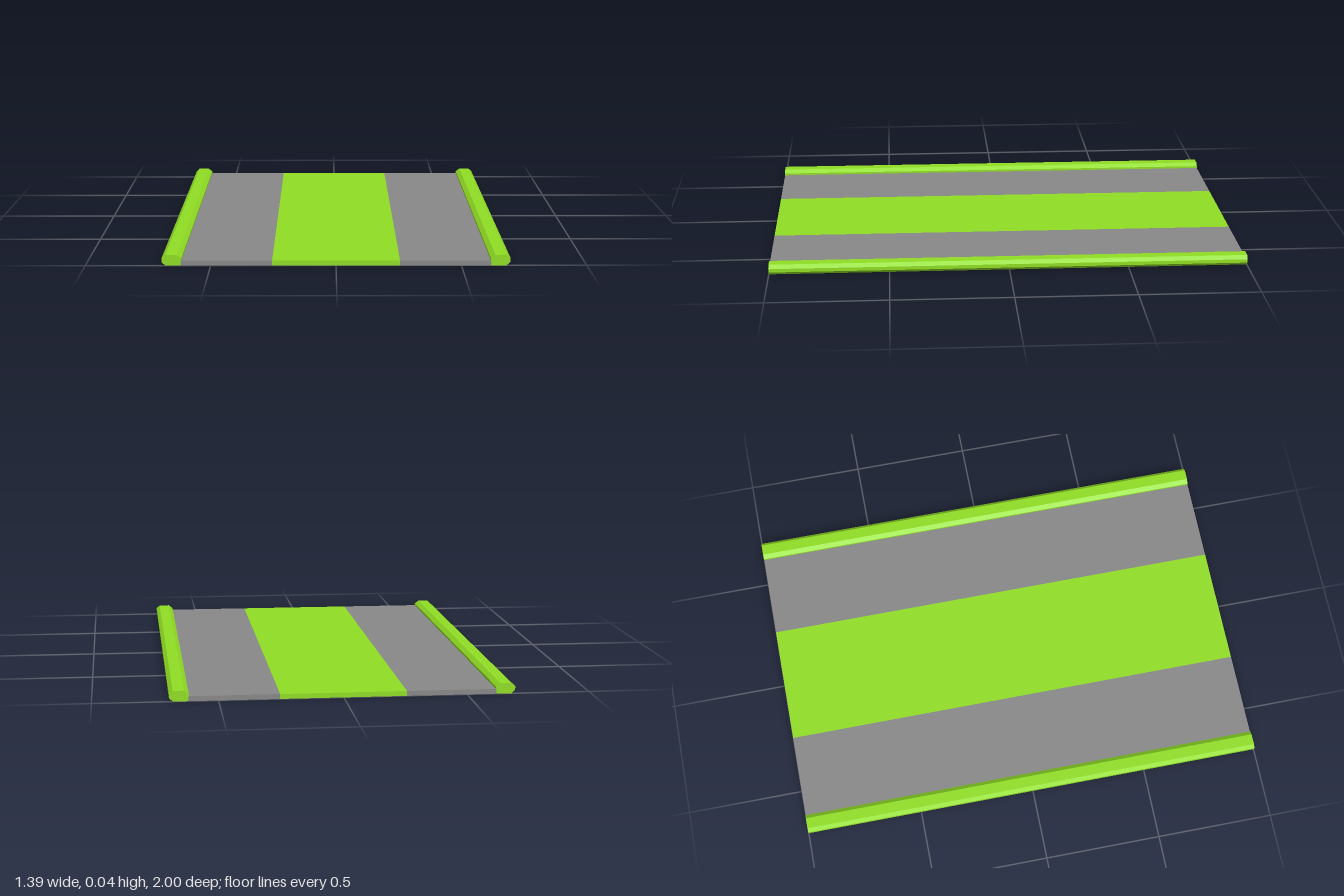
import * as THREE from 'three';

const LENGTH = 2, DECK_HEIGHT = 0.02, DECK_HALF = 0.62, STRIPE_HALF = 0.255;
const lime = new THREE.MeshStandardMaterial({ color: 0x90dd24 });
const grey = new THREE.MeshStandardMaterial({ color: 0x888888 });

// Flat strip of the deck between two x positions
function strip(name, x0, x1, material) {
  const mesh = new THREE.Mesh(new THREE.BoxGeometry(x1 - x0, DECK_HEIGHT, LENGTH), material);
  mesh.position.set((x0 + x1) / 2, DECK_HEIGHT / 2, 0);
  mesh.name = name;
  return mesh;
}

// Raised edge rail with chamfered corners, run along z
function rail(name, side) {
  const profile = [
    [0.617, 0], [0.68, 0], [0.696, 0.014], [0.696, 0.029],
    [0.681, 0.043], [0.635, 0.043], [0.617, 0.029],
  ].map(([x, y]) => new THREE.Vector2(side * x, y));
  const geometry = new THREE.ExtrudeGeometry(new THREE.Shape(profile), { depth: LENGTH, bevelEnabled: false });
  geometry.translate(0, 0, -LENGTH / 2);
  const mesh = new THREE.Mesh(geometry, lime);
  mesh.name = name;
  return mesh;
}

export function createModel() {
  const model = new THREE.Group();
  model.name = 'flatPanel';
  model.add(strip('centreStripe', -STRIPE_HALF, STRIPE_HALF, lime));
  for (const [label, side] of [['left', 1], ['right', -1]]) {
    const [x0, x1] = [side * STRIPE_HALF, side * DECK_HALF].sort((a, b) => a - b);
    model.add(strip(label + 'Strip', x0, x1, grey), rail(label + 'Rail', side));
  }
  return model;
}
